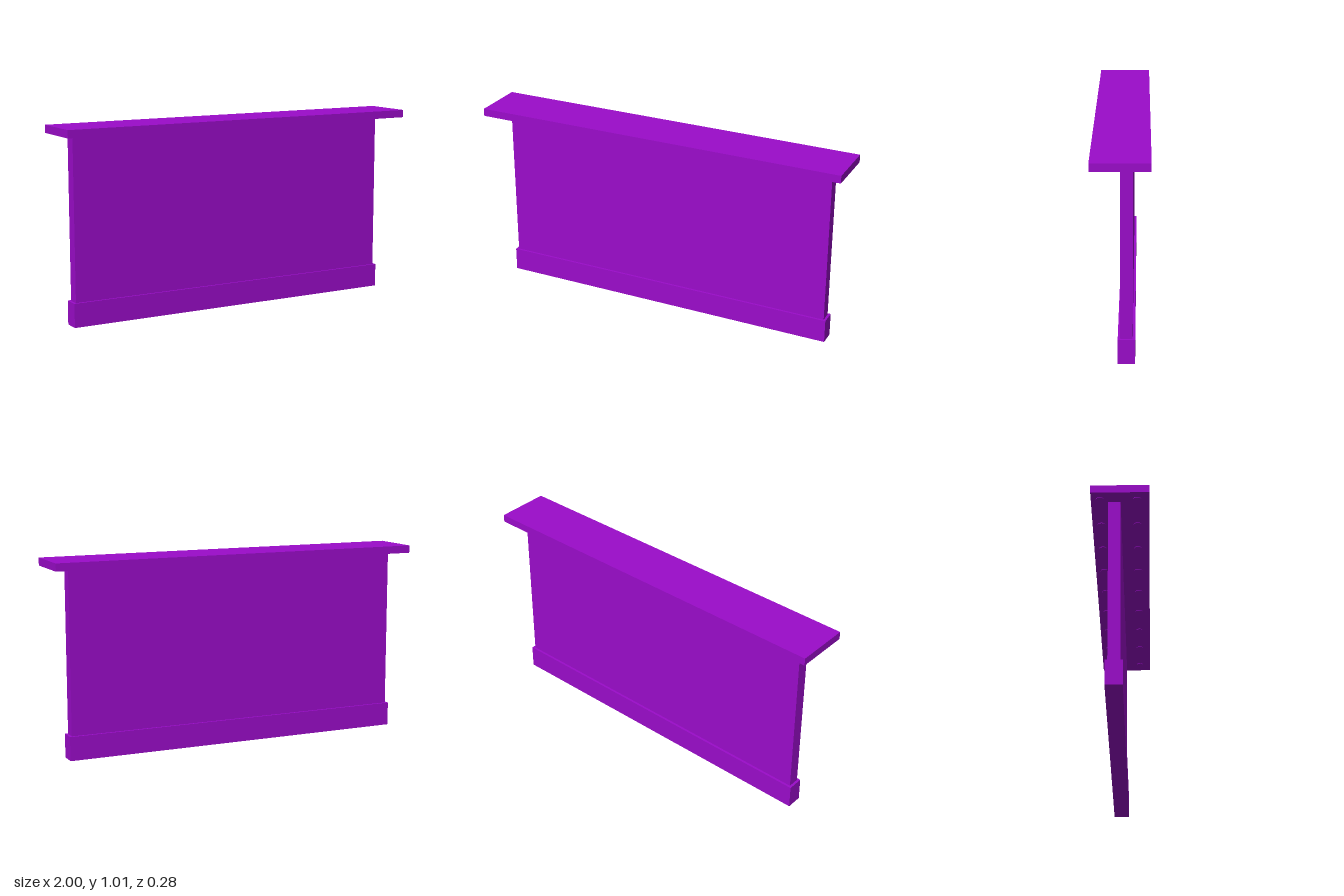
import * as THREE from 'three';

export function createModel() {
  const model = new THREE.Group();
  const material = new THREE.MeshStandardMaterial({ color: 0x9b0cca });

  // Box given by its extents on each axis
  function slab(name, [x0, x1], [y0, y1], [z0, z1]) {
    const mesh = new THREE.Mesh(new THREE.BoxGeometry(x1 - x0, y1 - y0, z1 - z0), material);
    mesh.position.set((x0 + x1) / 2, (y0 + y1) / 2, (z0 + z1) / 2);
    mesh.name = name;
    model.add(mesh);
  }

  slab('plinth', [-0.929, 0.925], [0, 0.124], [-0.07, 0.013]);
  slab('wallPanel', [-0.916, 0.912], [0.124, 0.968], [-0.058, 0.002]);
  slab('counterTop', [-1, 1], [0.968, 1.008], [-0.141, 0.141]);

  // Two rows of shallow round lights under the counter overhang
  const lights = new THREE.Group();
  lights.name = 'undersideLights';
  const disc = new THREE.CylinderGeometry(0.02, 0.02, 0.006, 24);
  for (const z of [0.082, -0.097]) {
    for (let i = 0; i < 9; i++) {
      const light = new THREE.Mesh(disc, material);
      light.name = 'undersideLight';
      light.position.set(-0.94 + i * 0.2325, 0.968, z);
      lights.add(light);
    }
  }
  model.add(lights);

  return model;
}
